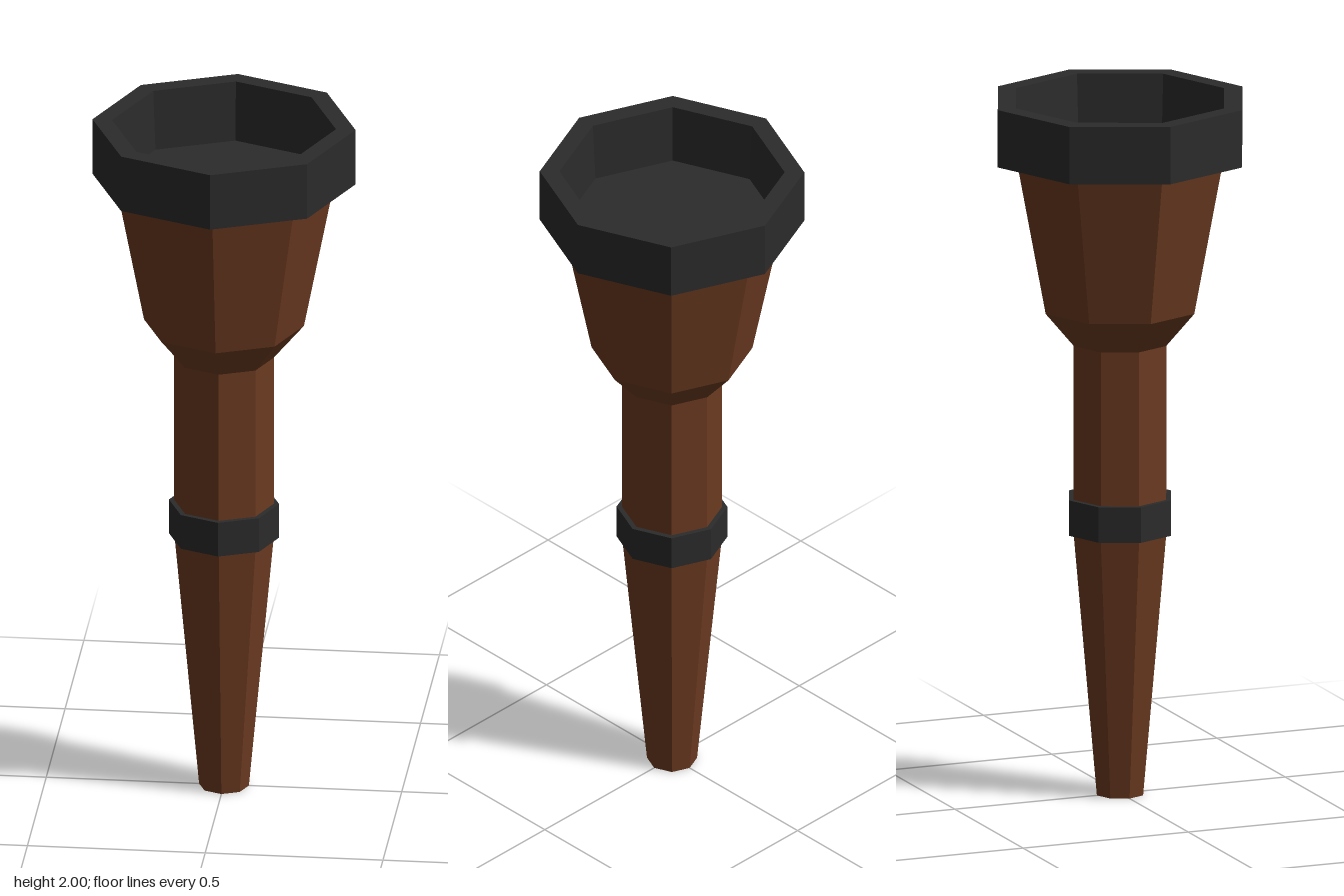
import * as THREE from 'three';

const SIDES = 8;

// Faceted octagonal solid turned from [radius, height] points, listed from the bottom up
function turned(name, profile, material) {
  const points = profile.map(([r, y]) => new THREE.Vector2(r, y));
  const mesh = new THREE.Mesh(new THREE.LatheGeometry(points, SIDES), material);
  mesh.name = name;
  return mesh;
}

export function createModel() {
  const wood = new THREE.MeshStandardMaterial({ color: 0x6b3a20, flatShading: true });
  const iron = new THREE.MeshStandardMaterial({ color: 0x2b2b2b, flatShading: true });

  const torch = new THREE.Group();
  torch.name = 'torch';

  // Tapered handle, straight grip and flared head in one piece of wood
  torch.add(turned('woodenBody', [
    [0, 0], [0.07, 0], [0.14, 0.755], [0.14, 1.3], [0.225, 1.4], [0.31, 1.835],
  ], wood));

  // Band around the grip
  torch.add(turned('gripBand', [
    [0.14, 0.755], [0.155, 0.755], [0.155, 0.857], [0.14, 0.857],
  ], iron));

  // Rim with a hollow bowl, slightly narrower at its floor
  torch.add(turned('rimBowl', [
    [0.3, 1.835], [0.37, 1.835], [0.37, 2], [0.315, 2], [0.305, 1.825], [0, 1.825],
  ], iron));

  return torch;
}
